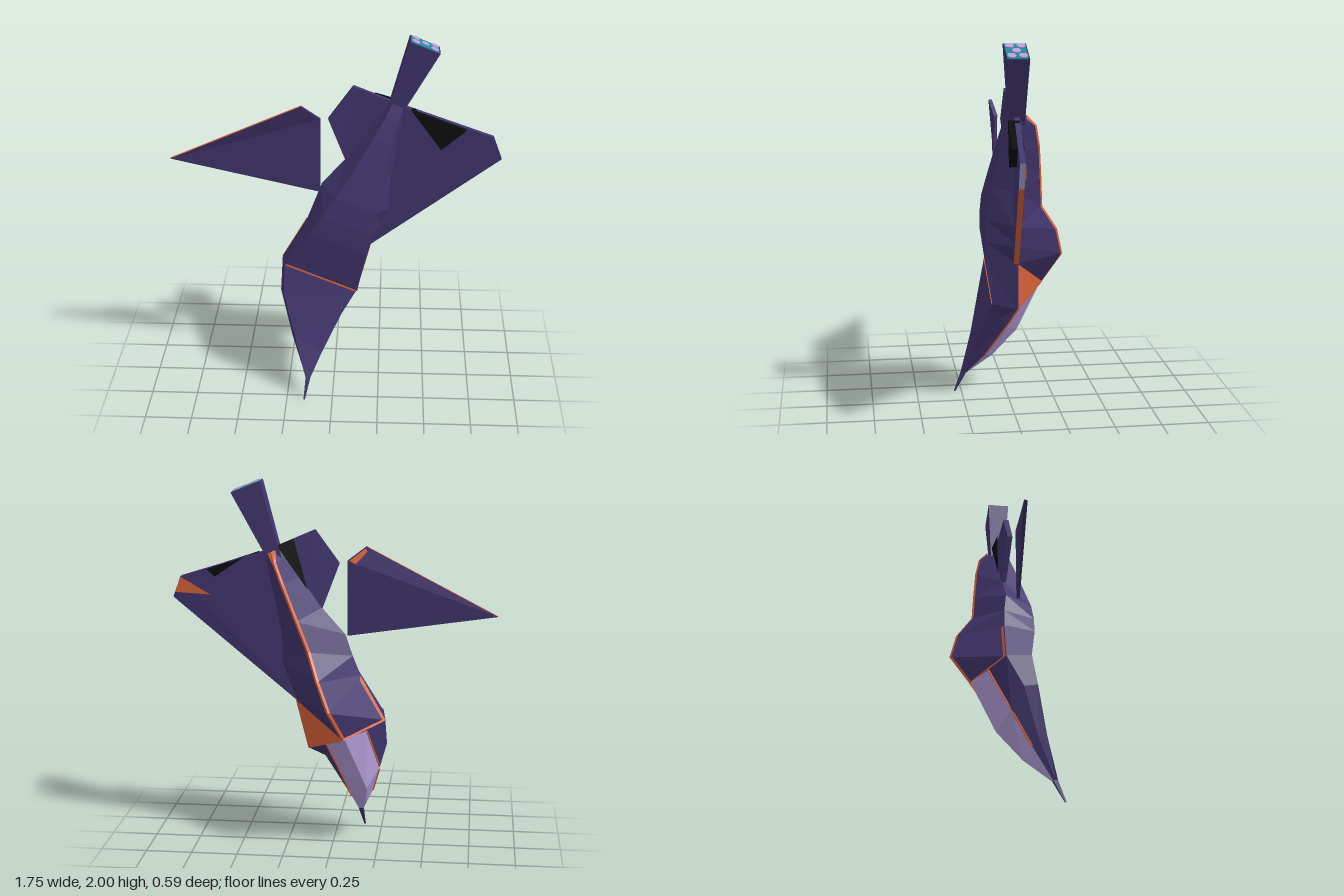
import * as THREE from 'three';

const paint = (name, color) => new THREE.MeshStandardMaterial({ name, color, side: THREE.DoubleSide });

export function createModel() {
  const purple = paint('hull purple', 0x42366e);
  const orange = paint('trim orange', 0xe0643a);
  const lavender = paint('canopy lavender', 0xb8a0dc);
  const black = paint('vent black', 0x0c0c0c);
  const teal = paint('nozzle teal', 0x1c8894);

  const model = new THREE.Group();
  model.name = 'crackedFighter';
  // The hull is built upright around its own centre plane, then leaned sideways
  const hull = new THREE.Group();
  hull.name = 'hull';
  hull.rotation.z = -22 * Math.PI / 180;
  hull.position.set(-0.287, 0.116, 0);
  model.add(hull);

  const facets = (parent, name, tris, material) => {
    const geometry = new THREE.BufferGeometry();
    geometry.setAttribute('position', new THREE.Float32BufferAttribute(tris.flat(2), 3));
    geometry.computeVertexNormals();
    const mesh = new THREE.Mesh(geometry, material);
    mesh.name = name;
    parent.add(mesh);
    return mesh;
  };

  // Skin between matching cross-sections, columns from..to (wrapping round)
  const skin = (parent, name, rows, material, from, to) => {
    const tris = [];
    for (let r = 0; r < rows.length - 1; r++) {
      for (let c = from; c < to; c++) {
        const n = rows[r].length;
        const a = rows[r][c % n], b = rows[r][(c + 1) % n];
        const d = rows[r + 1][c % n], e = rows[r + 1][(c + 1) % n];
        tris.push([a, d, b], [b, d, e]);
      }
    }
    return facets(parent, name, tris, material);
  };

  // Thin polygon plate with an optional orange edge
  const plate = (parent, name, pts, half, material, trimEdge = -1) => {
    const front = pts.map(([x, y, z]) => [x, y, z + half]);
    const back = pts.map(([x, y, z]) => [x, y, z - half]);
    const tris = [], trim = [], n = pts.length;
    for (let i = 1; i < n - 1; i++) {
      tris.push([front[0], front[i], front[i + 1]], [back[0], back[i + 1], back[i]]);
    }
    for (let i = 0; i < n; i++) {
      const j = (i + 1) % n;
      (i === trimEdge ? trim : tris).push([front[i], back[i], front[j]], [front[j], back[i], back[j]]);
    }
    facets(parent, name, tris, material);
    if (trim.length) facets(parent, name + 'Edge', trim, orange);
  };

  // Main body: belly corners, side corners and a raised spine
  const stations = [
    // belly v, half width, z | side v, half width, z | spine v, z
    [0.59, 0.21, 0.105, 0.56, 0.225, -0.03, 0.573, -0.19],
    [0.83, 0.16, 0.145, 0.835, 0.187, -0.02, 0.76, -0.29],
    [0.95, 0.14, 0.152, 0.95, 0.189, -0.015, 0.926, -0.25],
    [1.08, 0.115, 0.15, 1.07, 0.193, 0, 1.076, -0.16],
    [1.25, 0.08, 0.125, 1.25, 0.13, 0, 1.25, -0.145],
    [1.45, 0.05, 0.09, 1.45, 0.085, 0, 1.45, -0.125],
    [1.57, 0.035, 0.065, 1.57, 0.06, 0, 1.576, -0.10],
    [1.65, 0.03, 0.045, 1.65, 0.045, 0, 1.63, -0.05],
  ];
  const bodyRows = stations.map(([bv, bw, bz, sv, sw, sz, pv, pz]) => [
    [bw, bv, bz], [sw, sv, sz], [0, pv, pz], [-sw, sv, sz], [-bw, bv, bz],
  ]);
  skin(hull, 'body', bodyRows, purple, 0, 5);

  // Orange trim along the spine
  skin(hull, 'spineTrim', stations.map(([, , , , , , v, z], i) => {
    const w = i === 7 ? 0.024 : 0.011;
    return [[-w, v, z + 0.006], [0, v, z - 0.004], [w, v, z + 0.006]];
  }), orange, 0, 2);

  // Orange shoulder panels behind the canopy
  for (const s of [1, -1]) {
    facets(hull, s > 0 ? 'leftShoulder' : 'rightShoulder', [
      [[s * 0.19, 0.835, -0.026], [s * 0.227, 0.558, -0.036], [0, 0.57, -0.196]],
    ], orange);
  }

  // Seam across the belly
  const seam = new THREE.Mesh(new THREE.BoxGeometry(0.41, 0.008, 0.008), orange);
  seam.name = 'bellySeam';
  seam.position.set(0, 0.588, 0.105);
  hull.add(seam);

  // Flared tail duct
  const ring = (v, w, z0, z1) => [[-w, v, z1], [w, v, z1], [w, v, z0], [-w, v, z0]];
  skin(hull, 'tailDuct', [
    ring(1.4, 0.02, -0.03, 0.03), ring(1.63, 0.04, -0.038, 0.045), ring(1.995, 0.083, -0.037, 0.08),
  ], purple, 0, 4);
  const nozzlePlate = new THREE.Mesh(new THREE.BoxGeometry(0.155, 0.008, 0.106), teal);
  nozzlePlate.name = 'nozzlePlate';
  nozzlePlate.position.set(0, 1.994, 0.021);
  hull.add(nozzlePlate);
  for (const [x, z] of [[-0.052, -0.008], [0.052, -0.008], [0, 0.021], [-0.052, 0.05], [0.052, 0.05]]) {
    const nozzle = new THREE.Mesh(new THREE.CylinderGeometry(0.024, 0.024, 0.008, 6), lavender);
    nozzle.name = 'nozzle';
    nozzle.position.set(x, 1.999, z);
    hull.add(nozzle);
  }

  // Whole left wing with its vent and tip marking
  plate(hull, 'leftWing', [
    [0.187, 0.835, -0.015], [0.611, 1.589, 0.05], [0.526, 1.679, 0.038], [0.04, 1.645, 0.005],
  ], 0.014, purple, 0);
  plate(hull, 'leftVent', [[0.077, 1.648, 0.025], [0.3, 1.515, 0.04], [0.377, 1.664, 0.04]], 0.03, black);
  facets(hull, 'leftTipMark', [
    [[0.526, 1.676, 0.018], [0.59, 1.61, 0.026], [0.41, 1.53, 0.008]],
  ], orange);

  // Stump of the right wing
  plate(hull, 'rightWingStump', [
    [-0.13, 1.246, 0.005], [-0.303, 1.435, 0.028], [-0.25, 1.65, 0.025], [-0.04, 1.645, 0.005],
  ], 0.014, purple);
  facets(hull, 'rightVent', [
    [[-0.097, 1.37, -0.016], [-0.13, 1.649, -0.008], [-0.035, 1.65, -0.03]],
  ], black);

  // Broken-off right wing floating clear of the hull
  plate(model, 'brokenWing', [
    [-0.875, 1.3, -0.02], [-0.17, 1.645, 0.08], [-0.07, 1.57, 0.062], [-0.07, 1.16, 0.065],
  ], 0.009, purple, 0);
  facets(model, 'brokenWingMark', [
    [[-0.165, 1.635, 0.067], [-0.08, 1.57, 0.05], [-0.29, 1.46, 0.036]],
  ], orange);

  // Bent nose: belly, side, rim, ridge, rim, side, belly
  const tipRing = (x, y, z, r) => [[r, r], [r, 0], [r, -r], [0, -r], [-r, -r], [-r, 0], [-r, r]]
    .map(([dx, dz]) => [x + dx, y, z + dz]);
  const noseRows = [
    [[0.125, 0.59, 0.105], [0.13, 0.55, -0.03], [0.03, 0.6, -0.1], [-0.08, 0.65, -0.19],
      [-0.19, 0.68, -0.11], [-0.285, 0.725, -0.03], [-0.265, 0.745, 0.105]],
    [[0.04, 0.45, 0.14], [0.05, 0.48, 0.06], [-0.04, 0.40, 0.01], [-0.19, 0.34, -0.07],
      [-0.255, 0.44, 0.0], [-0.29, 0.56, 0.06], [-0.27, 0.58, 0.135]],
    [[-0.06, 0.25, 0.20], [-0.06, 0.25, 0.17], [-0.09, 0.23, 0.12], [-0.175, 0.2, 0.07],
      [-0.21, 0.27, 0.11], [-0.225, 0.32, 0.14], [-0.205, 0.33, 0.19]],
    tipRing(-0.135, 0.115, 0.24, 0.013),
    tipRing(-0.154, 0.0, 0.288, 0.004),
  ];
  const canopyRows = noseRows.slice(0, 4);
  skin(model, 'noseHull', noseRows, purple, 4, 9);
  skin(model, 'canopy', canopyRows, lavender, 2, 4);
  skin(model, 'noseSpike', noseRows.slice(3), purple, 2, 4);

  // Orange rails beside the canopy
  for (const c of [2, 4]) {
    const rail = new THREE.CurvePath();
    for (let r = 0; r < 2; r++) {
      rail.add(new THREE.LineCurve3(new THREE.Vector3(...noseRows[r][c]), new THREE.Vector3(...noseRows[r + 1][c])));
    }
    const mesh = new THREE.Mesh(new THREE.TubeGeometry(rail, 8, 0.006, 4), orange);
    mesh.name = c === 2 ? 'leftCanopyRail' : 'rightCanopyRail';
    model.add(mesh);
  }
  return model;
}
